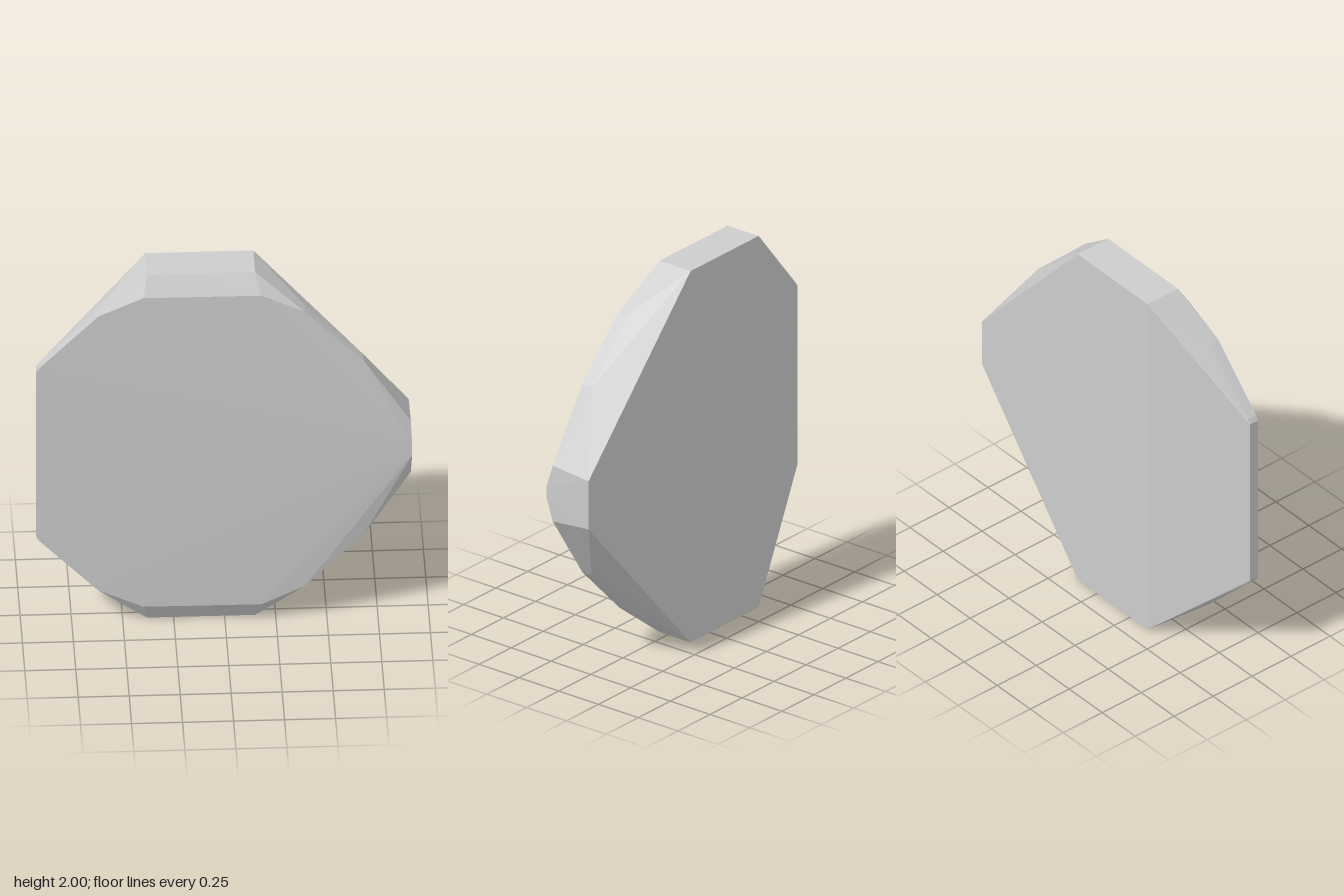
import * as THREE from 'three';
import { ConvexGeometry } from 'three/addons/geometries/ConvexGeometry.js';

export function createModel() {
  const group = new THREE.Group();
  const stone = new THREE.MeshStandardMaterial({ color: 0xcccccc });
  stone.name = 'light grey stone';

  // Corners of the upper half; the lower half mirrors them about y = 1
  const upper = [
    // back plate
    [-0.38, 2, -0.145], [0.15, 2, -0.145], [0.91, 1.13, -0.115],
    // rim
    [-0.38, 2, 0.05], [0.15, 2, 0.05],
    [-0.62, 1.8, 0.05], [-0.91, 1.505, 0.05], [-0.925, 1.48, 0.05],
    [0.39, 1.8, 0.05], [0.68, 1.505, 0.05],
    // front face
    [-0.4, 1.9, 0.106], [0.18, 1.9, 0.11],
    [-0.62, 1.8, 0.105], [-0.91, 1.505, 0.102], [-0.925, 1.48, 0.102],
    [0.39, 1.8, 0.11], [0.68, 1.505, 0.11],
    // pointed side
    [0.91, 1.15, 0.11], [0.915, 1.03, 0.145],
  ];
  const points = upper.flatMap(([x, y, z]) => [
    new THREE.Vector3(x, y, z),
    new THREE.Vector3(x, 2 - y, z),
  ]);

  // Faceted slab
  const slab = new THREE.Mesh(new ConvexGeometry(points), stone);
  slab.name = 'facetedSlab';
  group.add(slab);
  return group;
}
